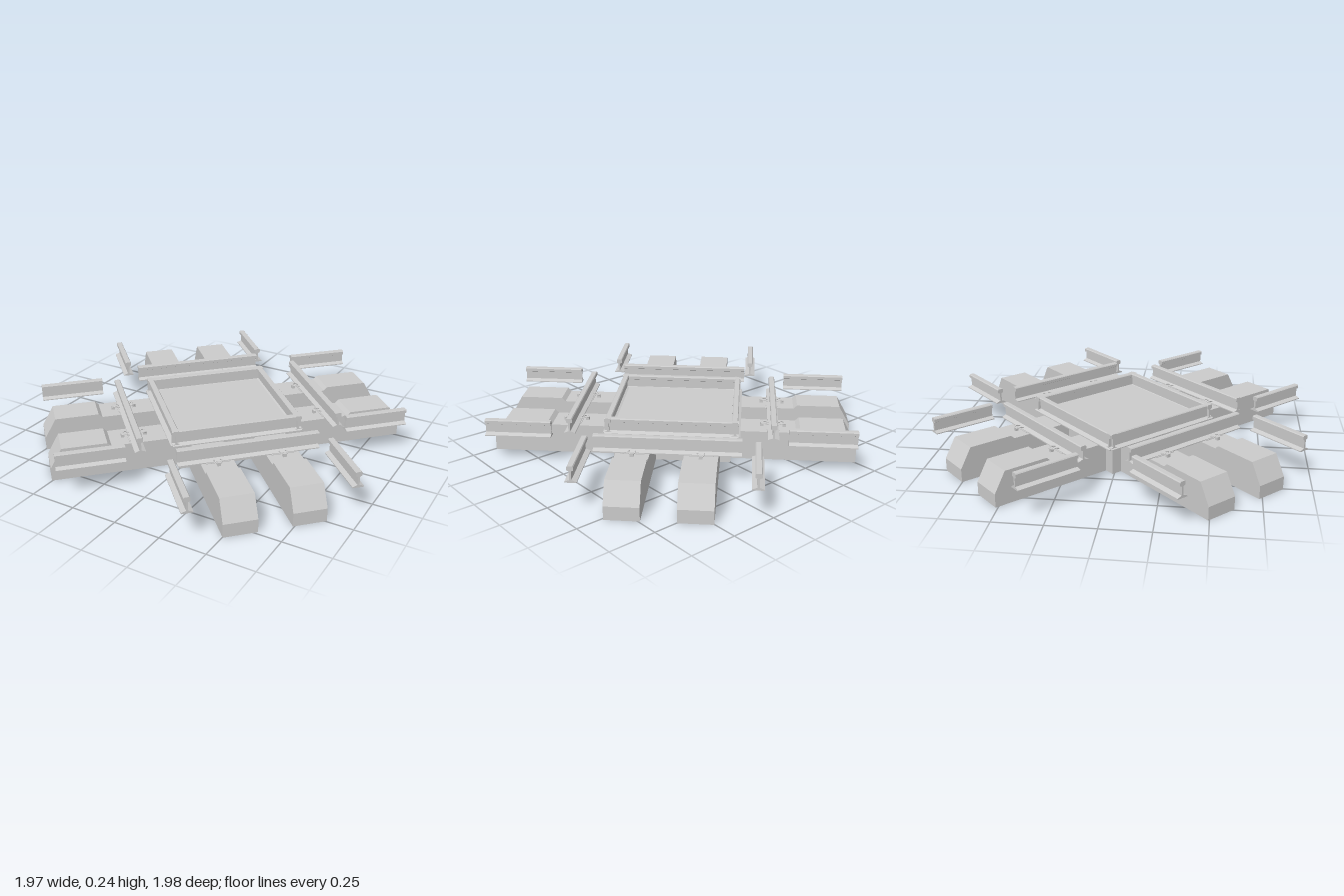
import * as THREE from 'three';

const mat = new THREE.MeshStandardMaterial({ color: 0xcccccc, flatShading: true, side: THREE.DoubleSide });

function add(parent, name, geometry, x = 0, y = 0, z = 0, turn = 0) {
  const mesh = new THREE.Mesh(geometry, mat);
  mesh.name = name;
  mesh.position.set(x, y, z);
  mesh.rotation.y = turn;
  parent.add(mesh);
  return mesh;
}

// Extrudes an outline along z, centred on z = 0
function prism(points, length) {
  const shape = new THREE.Shape(points.map(([x, y]) => new THREE.Vector2(x, y)));
  return new THREE.ExtrudeGeometry(shape, { depth: length, bevelEnabled: false }).translate(0, 0, -length / 2);
}

// Rail section: wide foot, thin web, head with bevelled corners
const halfRail = [
  [0.029, 0.158], [0.029, 0.163], [0.005, 0.172], [0.005, 0.216],
  [0.016, 0.221], [0.016, 0.237], [0.012, 0.242],
];
const railOutline = [...halfRail, ...halfRail.map(([x, y]) => [-x, y]).reverse()];

// Rail from its centre, its length and whether it runs along x
function rail(parent, name, x, z, length, alongX) {
  add(parent, name, prism(railOutline, length), x, 0, z, alongX ? Math.PI / 2 : 0);
}

// Sleeper arm reaching along +x, with a lowered rail seat and a sloping end
const armOutline = [
  [0.28, 0], [0.966, 0], [0.966, 0.07], [0.905, 0.176],
  [0.67, 0.176], [0.65, 0.157], [0.28, 0.157],
];

// Bent spring clip with its shoulder block, beside a rail foot
function clip(parent, x, z, side) {
  const g = new THREE.Group();
  g.name = 'railClip';
  g.position.set(x, 0.157, z);
  g.scale.x = side;
  parent.add(g);
  add(g, 'clipShoulder', new THREE.BoxGeometry(0.018, 0.02, 0.018), 0.012, 0.008, 0);
  const path = new THREE.CatmullRomCurve3([
    [-0.024, 0.012, -0.016], [0, 0.02, -0.018], [0.016, 0.014, -0.01],
    [0.016, 0.014, 0.01], [0, 0.02, 0.018], [-0.024, 0.012, 0.016],
  ].map((p) => new THREE.Vector3(...p)));
  add(g, 'clipSpring', new THREE.TubeGeometry(path, 12, 0.003, 5));
}

export function createModel() {
  const model = new THREE.Group();
  model.name = 'railCrossing';

  // The whole crossing lies diagonally
  const crossing = new THREE.Group();
  crossing.name = 'diagonalCrossing';
  crossing.rotation.y = -Math.PI / 4;
  model.add(crossing);

  // Concrete base: square block with two sleeper arms on each side
  const base = new THREE.Group();
  base.name = 'concreteBase';
  base.position.set(-0.006, 0, -0.006);
  crossing.add(base);
  add(base, 'centreBlock', new THREE.BoxGeometry(0.62, 0.176, 0.62), 0, 0.088, 0);

  const armGeometry = prism(armOutline, 0.17);
  const outerRailAt = [0.53, 0.55, 0.53, 0.52];
  for (let i = 0; i < 4; i++) {
    const sideGroup = new THREE.Group();
    sideGroup.name = 'crossingSide';
    sideGroup.rotation.y = i * Math.PI / 2;
    base.add(sideGroup);
    const r = outerRailAt[i];

    for (const z of [-0.17, 0.17]) {
      add(sideGroup, 'sleeperArm', armGeometry, 0, 0, z);
      add(sideGroup, 'railPad', new THREE.BoxGeometry(0.07, 0.004, 0.12), r, 0.158, z);
      for (const s of [-1, 1]) clip(sideGroup, r + s * 0.047, z, s);
    }

    // Inner frame rail and the longer rail outside it
    rail(sideGroup, 'frameRail', 0.33, 0, 0.7, false);
    rail(sideGroup, 'outerRail', r, 0, 0.74, false);
  }

  // Short loose rails leading away from the corners
  for (const s of [-1, 1]) {
    for (const side of [-1, 1]) rail(crossing, 'approachRail', s * 0.782, side * 0.411, 0.345, true);
    rail(crossing, 'approachRail', s * 0.41, 0.77, 0.345, false);
  }
  rail(crossing, 'approachRail', 0.403, -0.75, 0.345, false);
  rail(crossing, 'approachRail', -0.455, -0.75, 0.345, false);

  return model;
}
